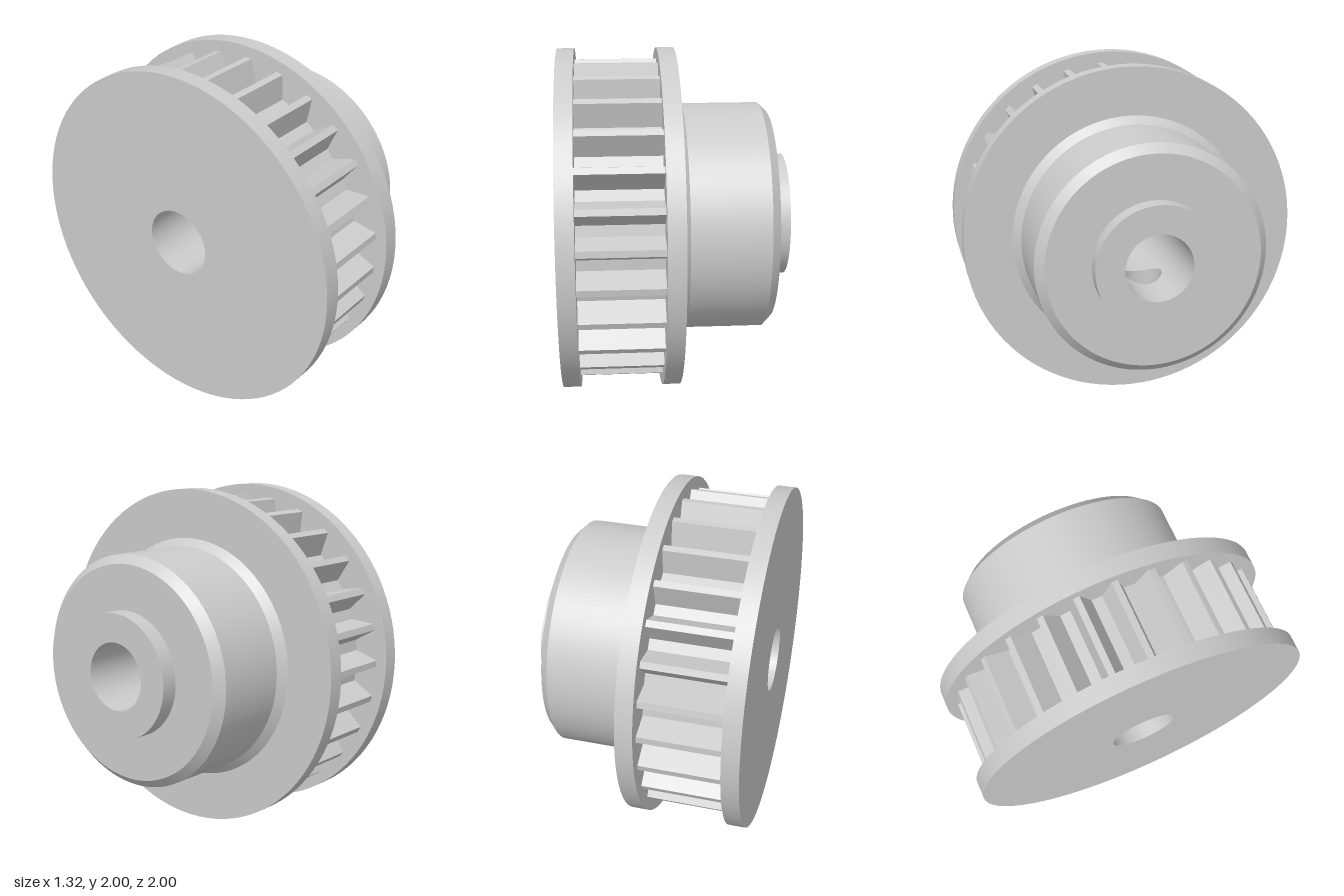
import * as THREE from 'three';
import { mergeGeometries } from 'three/addons/utils/BufferGeometryUtils.js';

const SEG = 96;
const BORE = 0.195, HUB = 0.67;
const SCREW_X = 0.265, SCREW_R = 0.115;   // set screw hole in the underside
const HUB_A = 0.06, HUB_B = 0.51;         // straight part of the hub

// Revolve a profile of [radius, x] points round the x axis, keeping every corner sharp.
// gap is the half angle left open at the bottom.
function revolve(points, gap = 0) {
  const bands = [];
  for (let i = 0; i < points.length - 1; i++) {
    const pair = [points[i], points[i + 1]].map(([r, x]) => new THREE.Vector2(r, x));
    bands.push(new THREE.LatheGeometry(pair, SEG, Math.PI / 2 + gap, 2 * Math.PI - 2 * gap));
  }
  return mergeGeometries(bands).rotateZ(-Math.PI / 2);
}

// Surface through closed loops of points: at(row 0..1, angle) -> [x, y, z]
function loft(at, rows, cols = 64) {
  const pos = [], index = [];
  for (let j = 0; j <= rows; j++) {
    for (let i = 0; i < cols; i++) {
      pos.push(...at(j / rows, (i / cols) * Math.PI * 2));
      if (j === rows) continue;
      const a = j * cols + i, b = j * cols + (i + 1) % cols;
      index.push(a, a + cols, b, b, a + cols, b + cols);
    }
  }
  const g = new THREE.BufferGeometry();
  g.setAttribute('position', new THREE.Float32BufferAttribute(pos, 3));
  g.setIndex(index);
  g.computeVertexNormals();
  return g;
}

// Point on the underside of a cylinder of radius R
const under = (R, x, z) => [x, -Math.sqrt(R * R - z * z), z];

// Curved rectangular patch of a cylinder with the round screw hole in it
function holedPatch(R, halfZ, inward) {
  const mid = (HUB_A + HUB_B) / 2, halfX = (HUB_B - HUB_A) / 2;
  return loft((v, t) => {
    const k = inward ? 1 - v : v;
    const c = Math.cos(t), s = Math.sin(t), m = Math.max(Math.abs(c), Math.abs(s));
    const x = THREE.MathUtils.lerp(SCREW_X + SCREW_R * c, mid + halfX * c / m, k);
    const z = THREE.MathUtils.lerp(SCREW_R * s, halfZ * s / m, k);
    return under(R, x, z);
  }, 6);
}

// Toothed rim: 27 tapered teeth
function toothedRim() {
  const n = 27, tip = 0.935, root = 0.8;
  const pitch = 2 * Math.PI / n, deg = Math.PI / 180;
  const shape = new THREE.Shape();
  for (let i = 0; i < n; i++) {
    const c = Math.PI + (i + 0.5) * pitch;
    const corners = [[root, -pitch / 2 + 2.2 * deg], [tip, -1.15 * deg], [tip, 1.15 * deg], [root, pitch / 2 - 2.2 * deg]];
    corners.forEach(([r, a], k) => {
      const x = r * Math.cos(c + a), y = r * Math.sin(c + a);
      if (i + k === 0) shape.moveTo(x, y); else shape.lineTo(x, y);
    });
  }
  shape.closePath();
  shape.holes.push(new THREE.Path().absarc(0, 0, 0.4, 0, Math.PI * 2, true));
  const g = new THREE.ExtrudeGeometry(shape, { depth: 0.515, bevelEnabled: false, curveSegments: 24 });
  return g.rotateY(Math.PI / 2).translate(-0.58, 0, 0);
}

export function createModel() {
  const group = new THREE.Group();
  const material = new THREE.MeshStandardMaterial({ color: 0xcccccc });
  const add = (name, geometry) => {
    const mesh = new THREE.Mesh(geometry, material);
    mesh.name = name;
    mesh.position.y = 1;
    group.add(mesh);
  };

  // Flanges either side of the teeth
  add('outerFlange', revolve([[BORE, -0.66], [1, -0.66], [1, -0.56], [0.3, -0.56]]));
  add('innerFlange', revolve([[0.3, -0.085], [1, -0.085], [1, 0.015], [0.7, 0.015]]));
  add('toothedRim', toothedRim());

  // Hub with sloped foot, chamfered end and the raised boss
  const hubZ = 0.3, boreZ = 0.15;
  add('hubFoot', revolve([[0.715, 0.015], [HUB, HUB_A]]));
  add('hubSide', revolve([[HUB, HUB_A], [HUB, HUB_B]], Math.asin(hubZ / HUB)));
  add('hubUnderside', holedPatch(HUB, hubZ, false));
  add('hubEndAndBoss', revolve([[HUB, HUB_B], [0.62, 0.56], [0.36, 0.56], [0.36, 0.66], [BORE, 0.66]]));

  // Shaft bore, opened underneath by the set screw hole
  add('boreFront', revolve([[BORE, 0.66], [BORE, HUB_B]]));
  add('boreMiddle', revolve([[BORE, HUB_B], [BORE, HUB_A]], Math.asin(boreZ / BORE)));
  add('boreUnderside', holedPatch(BORE, boreZ, true));
  add('boreBack', revolve([[BORE, HUB_A], [BORE, -0.66]]));
  add('setScrewHole', loft((v, t) => under(THREE.MathUtils.lerp(BORE, HUB, v),
    SCREW_X + SCREW_R * Math.cos(t), SCREW_R * Math.sin(t)), 4));

  return group;
}
